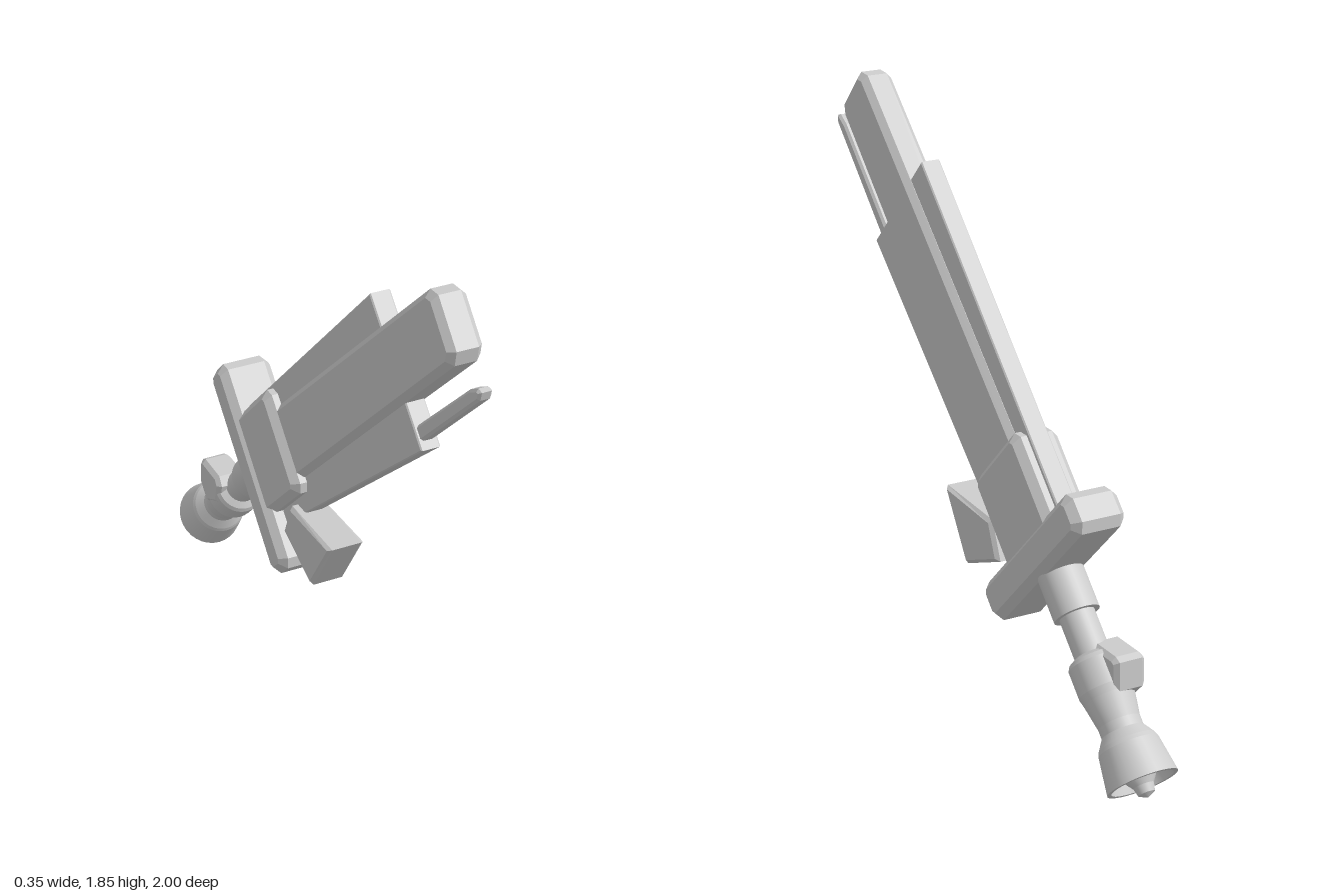
import * as THREE from 'three';

const metal = new THREE.MeshStandardMaterial({ color: 0xcccccc });
metal.name = 'paleMetal';
const metalOpen = metal;

// Chamfered plate: outline points are [across, along], thickness is centred on offset
function slab(name, points, thickness, bevel, offset = 0) {
  const shape = new THREE.Shape(points.map(p => new THREE.Vector2(p[0], p[1])));
  const depth = thickness - 2 * bevel;
  const geo = new THREE.ExtrudeGeometry(shape, {
    depth, bevelEnabled: bevel > 0, bevelThickness: bevel, bevelSize: bevel,
    bevelOffset: -bevel, bevelSegments: 1,
  });
  geo.translate(0, 0, -depth / 2);
  geo.rotateY(-Math.PI / 2);
  geo.translate(offset, 0, 0);
  const mesh = new THREE.Mesh(geo, metal);
  mesh.name = name;
  return mesh;
}

// Rectangle with cut corners
function cutRect(s0, s1, u0, u1, c) {
  return [[s0 + c, u0], [s1 - c, u0], [s1, u0 + c], [s1, u1 - c],
    [s1 - c, u1], [s0 + c, u1], [s0, u1 - c], [s0, u0 + c]];
}

// Turned part about the handle axis; profile points are [radius, along]
function turned(name, profile) {
  const pts = profile.map(p => new THREE.Vector2(p[0], p[1]));
  const positions = [];
  // each profile step is its own band, so rims stay crisp and rounds smooth
  const group = new THREE.Group();
  for (let i = 0; i < pts.length - 1; i++) {
    const band = new THREE.Mesh(new THREE.LatheGeometry([pts[i], pts[i + 1]], 32), metalOpen);
    band.name = name + 'Band';
    group.add(band);
  }
  group.name = name;
  group.position.z = -0.71;
  return group;
}

export function createModel() {
  const model = new THREE.Group();
  model.name = 'sword';
  const body = new THREE.Group();
  body.name = 'swordBody';
  body.rotation.set(Math.PI / 4, 0.103, 0, 'YXZ');
  body.position.x = 0.028;
  model.add(body);

  // Blade layers
  body.add(
    slab('mainBlade', [[-0.835, 0.15], [-0.583, 0.15], [-0.562, 1.82], [-0.59, 1.86],
      [-0.752, 1.865], [-0.782, 1.83]], 0.108, 0.02),
    slab('backPlate', [[-0.9, 0.15], [-0.75, 0.15], [-0.75, 1.432], [-0.897, 1.432]], 0.066, 0.004),
    slab('frontPlate', [[-0.65, 0.21], [-0.491, 0.21], [-0.422, 1.426], [-0.65, 1.426]], 0.062, 0.004),
    slab('frontRod', [[-0.498, 1.38], [-0.45, 1.38], [-0.447, 1.862], [-0.462, 1.886],
      [-0.478, 1.876], [-0.49, 1.83]], 0.044, 0.008),
  );

  // Block at the blade root and the crossguard
  body.add(
    slab('rootBlock', cutRect(-0.885, -0.535, 0.15, 0.497, 0.026), 0.156, 0.024),
    slab('crossguard', cutRect(-1.06, -0.35, 0.08, 0.212, 0.028), 0.18, 0.025),
    slab('frontHook', [[-0.469, 0.238], [-0.261, 0.325], [-0.321, 0.577], [-0.52, 0.36]], 0.125, 0.012),
  );

  // Handle with hollow flared pommel
  body.add(
    turned('grip', [[0.03, -0.6], [0.105, -0.592], [0.111, -0.598], [0.107, -0.57], [0.094, -0.482],
      [0.088, -0.468], [0.066, -0.435], [0.066, -0.405], [0.08, -0.325], [0.086, -0.3],
      [0.086, -0.212], [0.078, -0.198], [0.056, -0.185], [0.056, -0.056], [0.073, -0.056],
      [0.073, 0.09]].slice(2)),
    turned('pommelCup', [[0, -0.642], [0.026, -0.63], [0.032, -0.605], [0.065, -0.56],
      [0.085, -0.55], [0.098, -0.598], [0.111, -0.598]]),
  );
  body.add(slab('handleLug', [[-0.68, -0.24], [-0.72, -0.17], [-0.757, -0.163], [-0.84, -0.245],
    [-0.848, -0.268], [-0.788, -0.335], [-0.71, -0.335]], 0.105, 0.014, -0.037));

  return model;
}
